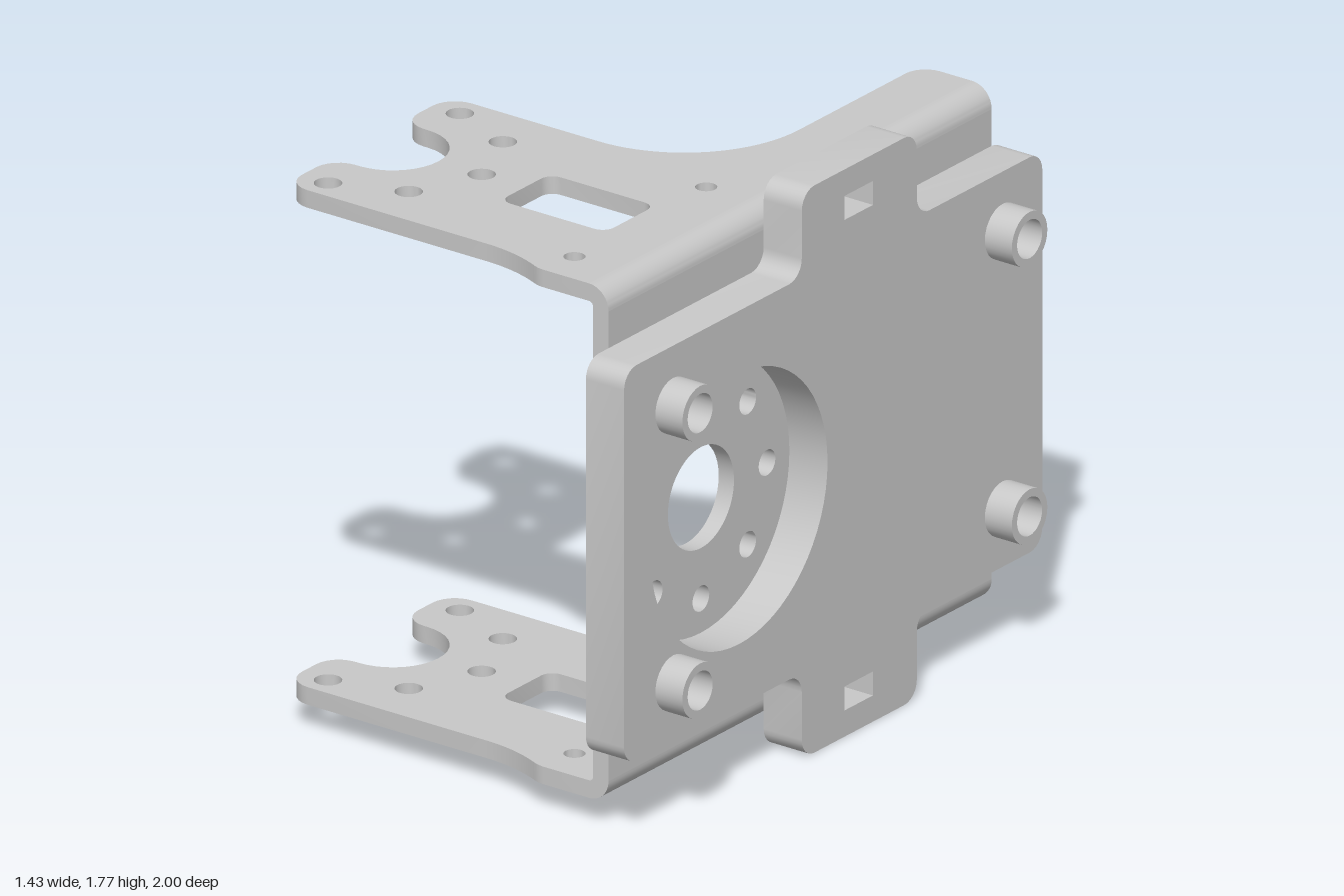
import * as THREE from 'three';
import { toCreasedNormals } from 'three/addons/utils/BufferGeometryUtils.js';

// Closed outline from [x, y, cornerRadius] corners
function roundedPoints(corners) {
  const out = [];
  corners.forEach(([x, y, r], i) => {
    const p = new THREE.Vector2(x, y);
    if (!r) { out.push(p); return; }
    const n = corners.length;
    const prev = corners[(i + n - 1) % n], next = corners[(i + 1) % n];
    const a = new THREE.Vector2(prev[0], prev[1]).sub(p).normalize();
    const b = new THREE.Vector2(next[0], next[1]).sub(p).normalize();
    const half = Math.acos(THREE.MathUtils.clamp(a.dot(b), -1, 1)) / 2;
    const c = a.clone().add(b).normalize().multiplyScalar(r / Math.sin(half)).add(p);
    const start = p.clone().addScaledVector(a, r / Math.tan(half)).sub(c);
    const sweep = (Math.PI - 2 * half) * (a.cross(b) < 0 ? 1 : -1);
    const steps = Math.max(6, Math.ceil(r * 50));
    for (let k = 0; k <= steps; k++) {
      out.push(start.clone().rotateAround(new THREE.Vector2(), sweep * k / steps).add(c));
    }
  });
  return out;
}

const rect = (x0, x1, y0, y1, r = 0) =>
  roundedPoints([[x0, y0, r], [x1, y0, r], [x1, y1, r], [x0, y1, r]]);

function circle(x, y, r) {
  const n = r > 0.1 ? 64 : 28;
  return Array.from({ length: n }, (_, i) => {
    const t = i / n * Math.PI * 2;
    return new THREE.Vector2(x + r * Math.cos(t), y + r * Math.sin(t));
  });
}

function extrude(points, holes, depth) {
  const shape = new THREE.Shape(points);
  shape.holes = holes.map(h => new THREE.Path(h));
  return new THREE.ExtrudeGeometry(shape, { depth, bevelEnabled: false });
}

export function createModel() {
  const group = new THREE.Group();
  const metal = new THREE.MeshStandardMaterial({ color: 0xc8c8c8 });
  metal.name = 'light grey metal';
  const add = (name, geo) => {
    const mesh = new THREE.Mesh(toCreasedNormals(geo, 0.6), metal);
    mesh.name = name;
    group.add(mesh);
  };
  // Upright sheets are drawn in (-z, y) and thickened along x
  const upright = (points, holes, x, depth) =>
    extrude(points, holes, depth).rotateY(Math.PI / 2).translate(x, 0, 0);

  const midY = 0.887, zBack = -0.94, zFront = 0.892;
  const yLow = 0.082, yHigh = 1.692, bend = 0.07, sheet = 0.055, plateX = 0.483;
  const mounts = [];
  for (const z of [0.765, -0.81]) for (const s of [-1, 1]) mounts.push([-z, midY + s * 0.434]);

  // Front plate with two tabs, large round opening and slots
  const R = 0.06;
  add('mountingPlate', upright(roundedPoints([
    [-1, 0.27, R], [-0.15, 0.27, R], [-0.15, 0, R], [0.4, 0, R], [0.4, 0.27, R], [1, 0.27, R],
    [1, 1.507, R], [0.4, 1.507, R], [0.4, 1.775, R], [-0.15, 1.775, R], [-0.15, 1.507, R], [-1, 1.507, R],
  ]), [
    circle(-0.45, midY, 0.423),
    rect(0.055, 0.19, 1.617, 1.692),
    rect(0.055, 0.19, 0.082, 0.157),
    ...mounts.map(([u, y]) => circle(u, y, 0.06)),
  ], plateX, 0.137));

  // Hollow standoffs
  for (const [u, y] of mounts) {
    add('standoff', upright(circle(u, y, 0.085), [circle(u, y, 0.06)], plateX + 0.137, 0.097));
  }

  // Bracket web with two bolt circles and scattered holes
  const webHoles = mounts.map(([u, y]) => circle(u, y, 0.05));
  for (const z of [0.45, -0.495]) {
    webHoles.push(circle(-z, midY, 0.158));
    for (let i = 0; i < 8; i++) {
      const t = i * Math.PI / 4;
      webHoles.push(circle(-z + 0.316 * Math.cos(t), midY + 0.316 * Math.sin(t), 0.04));
    }
  }
  for (const [z, dy] of [[-0.25, 0.465], [-0.02, 0.285], [0.21, 0.465]]) {
    for (const s of [-1, 1]) webHoles.push(circle(-z, midY + s * dy, 0.042));
  }
  add('bracketWeb', upright(
    rect(-zFront, -zBack, yLow + bend, yHigh - bend), webHoles, plateX - sheet, sheet));

  // Forked flanges, drawn in (x, z)
  const bendX = plateX - bend;
  const flangeOutline = roundedPoints([
    [bendX, zBack, 0], [0.228, zBack, 0.07], [0.228, 0.054, 0.41], [-0.718, 0.054, 0.08],
    [-0.718, 0.284, 0.08], [-0.463, 0.284, 0.162], [-0.463, 0.61, 0.162], [-0.718, 0.61, 0.08],
    [-0.718, 0.839, 0.08], [0.11, 0.839, 0.5], [0.23, zFront, 0.1], [bendX, zFront, 0],
  ]);
  const flangeHoles = [
    rect(-0.152, 0.228, 0.328, 0.567, 0.04),
    circle(-0.307, 0.447, 0.041),
  ];
  for (const [x, dz, r] of [[-0.622, 0.315, 0.041], [-0.4, 0.225, 0.041], [0.263, 0.315, 0.032]]) {
    for (const s of [-1, 1]) flangeHoles.push(circle(x, 0.447 + s * dz, r));
  }

  // Quarter-round bend between web and flange
  const bendShape = new THREE.Shape();
  bendShape.absarc(0, 0, bend, 0, Math.PI / 2, false);
  bendShape.absarc(0, 0, bend - sheet, Math.PI / 2, 0, true);
  const bendGeo = () => new THREE.ExtrudeGeometry(bendShape,
    { depth: zFront - zBack, bevelEnabled: false, curveSegments: 8 });

  for (const [side, top] of [['upper', yHigh], ['lower', yLow + sheet]]) {
    add(side + 'Flange',
      extrude(flangeOutline, flangeHoles, sheet).rotateX(Math.PI / 2).translate(0, top, 0));
  }
  add('upperBend', bendGeo().translate(bendX, yHigh - bend, zBack));
  add('lowerBend', bendGeo().rotateZ(-Math.PI / 2).translate(bendX, yLow + bend, zBack));

  return group;
}
